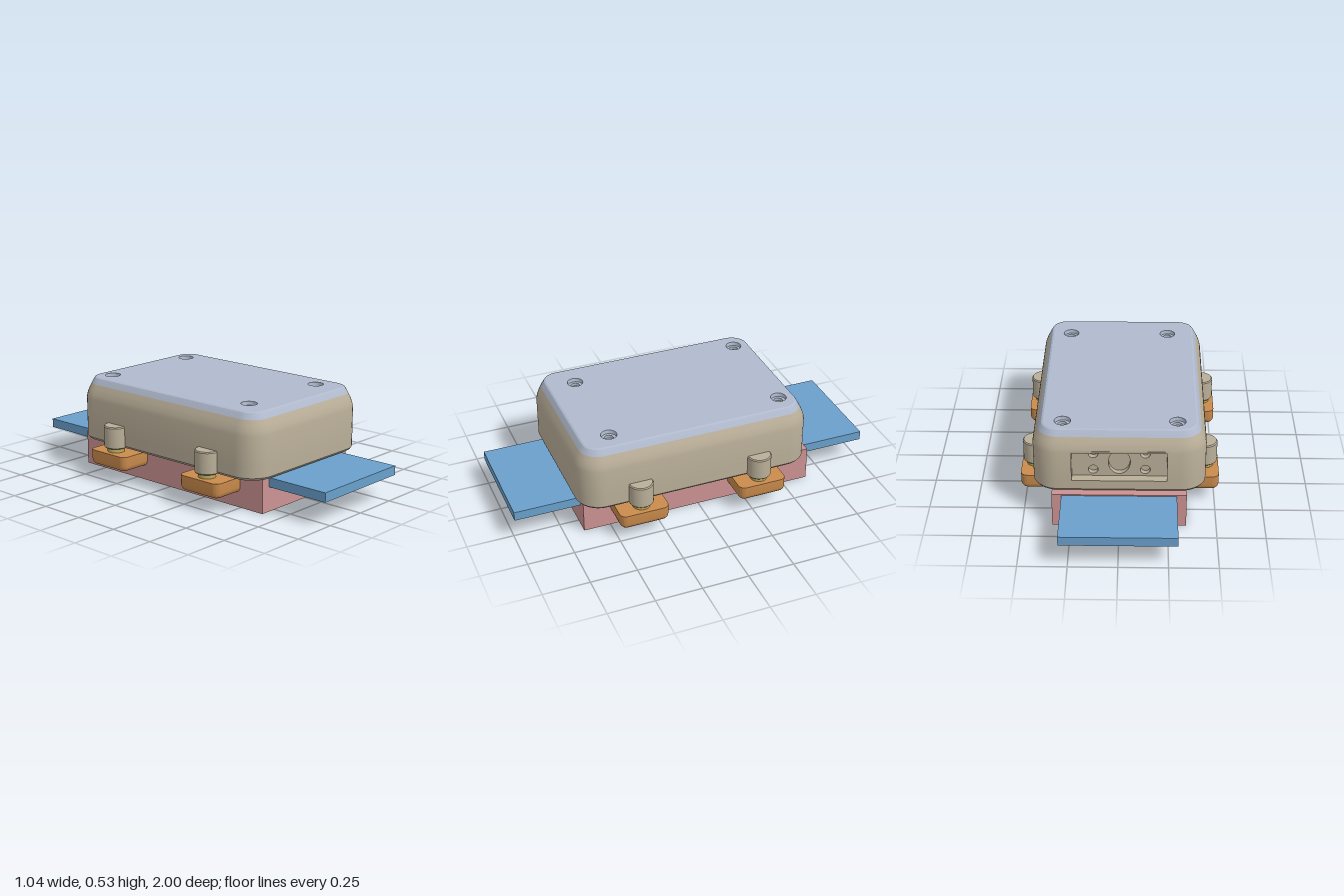
import * as THREE from 'three';
import { toCreasedNormals } from 'three/addons/utils/BufferGeometryUtils.js';

const mat = (name, color) => {
  const m = new THREE.MeshStandardMaterial({ color });
  m.name = name;
  return m;
};

// Rounded-rectangle ring; the back edge gets two extra points at x = -/+ slot
function ring(w, d, r, inset, slot) {
  const pts = [], n = 8, rr = Math.max(r - inset, 0.001);
  [[1, 1], [-1, 1], [-1, -1], [1, -1]].forEach(([sx, sz], c) => {
    for (let i = 0; i <= n; i++) {
      const a = (c + i / n) * Math.PI / 2;
      pts.push([sx * (w - inset - rr) + rr * Math.cos(a), sz * (d - inset - rr) + rr * Math.sin(a)]);
    }
    if (c === 2 && slot) pts.push([-slot, -(d - inset)], [slot, -(d - inset)]);
  });
  return pts;
}

// Loft of rings along a profile of [inset, y]; skipLevel leaves the slot open there
function loft(w, d, r, profile, { capStart = false, capEnd = false, slot = 0, skipLevel = -1 } = {}) {
  const rings = profile.map(([inset, y]) => ring(w, d, r, inset, slot).map(([x, z]) => [x, y, z]));
  const pos = [], n = rings[0].length;
  const tri = (...p) => p.forEach(v => pos.push(...v));
  for (let k = 0; k < rings.length - 1; k++) {
    for (let i = 0; i < n; i++) {
      if (k === skipLevel && i === 27) continue;
      const j = (i + 1) % n, lo = rings[k], hi = rings[k + 1];
      tri(lo[i], hi[i], lo[j]);
      tri(lo[j], hi[i], hi[j]);
    }
  }
  const last = rings.length - 1;
  for (let i = 0; i < n; i++) {
    const j = (i + 1) % n;
    if (capStart) tri([0, profile[0][1], 0], rings[0][i], rings[0][j]);
    if (capEnd) tri([0, profile[last][1], 0], rings[last][j], rings[last][i]);
  }
  const g = new THREE.BufferGeometry();
  g.setAttribute('position', new THREE.Float32BufferAttribute(pos, 3));
  return toCreasedNormals(g, 0.5);
}

const lathe = pts => toCreasedNormals(
  new THREE.LatheGeometry(pts.map(p => new THREE.Vector2(...p)), 32), 0.5);

export function createModel() {
  const model = new THREE.Group();
  const pink = mat('pink', 0xcc9292), blue = mat('blue', 0x6aa0cc);
  const beige = mat('beige', 0xb9ae98), lidGrey = mat('blueGrey', 0xb0bacd);
  const orange = mat('orange', 0xca8b4c), gold = mat('gold', 0xbfab5c);
  const steel = mat('steel', 0x8b96a4);

  const add = (parent, name, geo, material, x = 0, y = 0, z = 0) => {
    const m = new THREE.Mesh(geo, material);
    m.name = name;
    m.position.set(x, y, z);
    parent.add(m);
    return m;
  };
  const box = (parent, name, w, h, d, material, x, y, z) =>
    add(parent, name, new THREE.BoxGeometry(w, h, d), material, x, y, z);

  // Base block and the flat strap running through it
  box(model, 'baseBlock', 0.69, 0.187, 1.29, pink, 0, 0.0935, 0);
  box(model, 'strap', 0.59, 0.05, 2, blue, 0, 0.156, 0);

  // Hollow case, open below, with a slot in its back wall
  const W = 0.445, D = 0.643, R = 0.13, CZ = 0.033, SLOT = 0.243;
  const housing = new THREE.Group();
  housing.name = 'housing';
  housing.position.z = CZ;
  model.add(housing);
  add(housing, 'caseShell', loft(W, D, R, [
    [0.04, 0.46], [0.04, 0.187], [0.01, 0.187], [0, 0.2], [0, 0.25], [0, 0.415],
    [0.005, 0.44], [0.016, 0.468], [0.029, 0.493],
  ], { capStart: true, slot: SLOT, skipLevel: 4 }), beige);

  // Lid: bevelled edge, drilled top face
  add(housing, 'lidEdge', loft(W, D, R, [
    [0.029, 0.493], [0.041, 0.515], [0.047, 0.524], [0.056, 0.528],
  ]), lidGrey);
  const top = new THREE.Shape(ring(W, D, R, 0.056, 0).map(([x, z]) => new THREE.Vector2(x, -z)));
  const screws = [[-0.295, -0.48], [0.29, -0.48], [0.29, 0.475], [-0.255, 0.475]];
  screws.forEach(([x, z]) => {
    const hole = new THREE.Path();
    hole.absarc(x, -(z - CZ), 0.042, 0, Math.PI * 2, true);
    top.holes.push(hole);
    add(housing, 'screwBore', lathe([[0.042, 0.528], [0.039, 0.508], [0.024, 0.508], [0.024, 0.49]]),
      lidGrey, x, 0, z - CZ);
    add(housing, 'screwSeat', new THREE.CircleGeometry(0.026, 24).rotateX(-Math.PI / 2),
      beige, x, 0.492, z - CZ);
  });
  add(housing, 'lidTop', new THREE.ShapeGeometry(top, 24).rotateX(-Math.PI / 2), lidGrey, 0, 0.528, 0);

  // Back connector recess: tunnel walls, drilled plate and backing
  const recess = new THREE.Group();
  recess.name = 'connectorRecess';
  recess.position.set(0, 0.3325, -0.56);
  model.add(recess);
  const H = 0.0825;
  for (const s of [-1, 1]) {
    box(recess, 'recessSide', 0.01, 2 * H + 0.02, 0.07, beige, s * (SLOT + 0.005), 0, -0.0145);
    box(recess, 'recessLedge', 2 * SLOT, 0.01, 0.07, beige, 0, s * (H + 0.005), -0.0145);
  }
  const plate = new THREE.Shape([[-SLOT, -H], [SLOT, -H], [SLOT, H], [-SLOT, H]]
    .map(p => new THREE.Vector2(...p)));
  const drill = (x, y, rx, ry) => {
    const p = new THREE.Path();
    p.absellipse(x, y, rx, ry, 0, Math.PI * 2, true, 0);
    plate.holes.push(p);
  };
  drill(0, 0, 0.056, 0.07);
  for (const x of [-0.133, 0.133]) for (const y of [-0.045, 0.05]) drill(x, y, 0.025, 0.025);
  add(recess, 'connectorPlate',
    new THREE.ExtrudeGeometry(plate, { depth: 0.03, bevelEnabled: false, curveSegments: 24 }), beige);
  box(recess, 'connectorBacking', 2 * SLOT, 2 * H, 0.01, beige, 0, 0, 0.035);

  // Four side mounts: foot, spacer, post and bolt
  const footGeo = loft(0.11, 0.133, 0.035, [
    [0.026, 0.08], [0.012, 0.085], [0.003, 0.096], [0, 0.11], [0, 0.163],
  ], { capStart: true, capEnd: true });
  const postGeo = lathe([[0, 0.187], [0.061, 0.187], [0.065, 0.192],
    [0.065, 0.302], [0.06, 0.308], [0, 0.308]]);
  for (const s of [-1, 1]) {
    for (const z of [-0.303, 0.363]) {
      const mount = new THREE.Group();
      mount.name = s > 0 ? 'leftMount' : 'rightMount';
      mount.position.z = z;
      model.add(mount);
      add(mount, 'foot', footGeo, orange, s * 0.41);
      add(mount, 'spacer', new THREE.CylinderGeometry(0.046, 0.046, 0.03, 28), gold, s * 0.449, 0.174);
      add(mount, 'post', postGeo, beige, s * 0.447);
      add(mount, 'boltEnd', new THREE.CylinderGeometry(0.038, 0.038, 0.008, 24), steel, s * 0.449, 0.081);
    }
  }
  return model;
}
